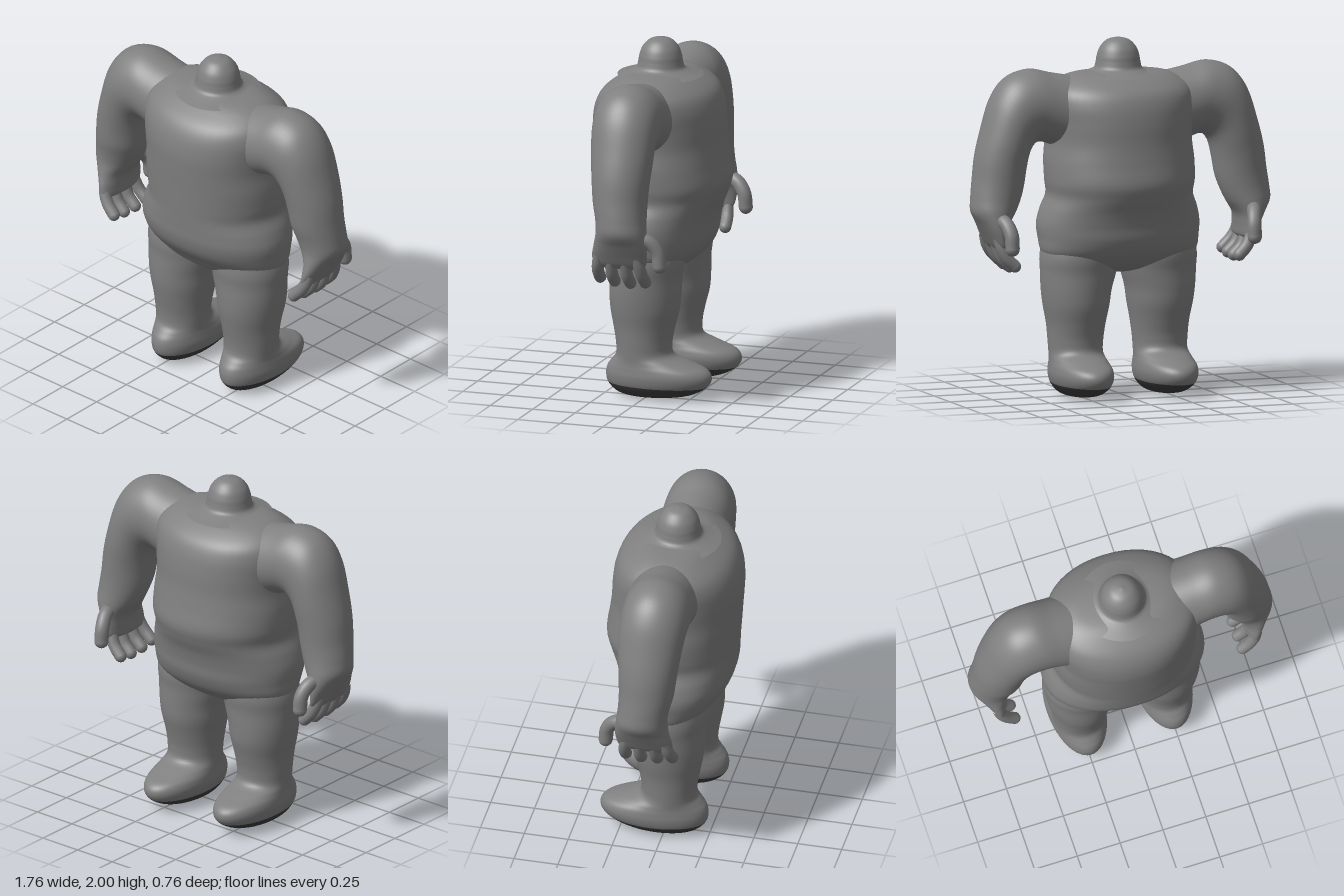
import * as THREE from 'three';

const skin = new THREE.MeshStandardMaterial({ color: 0x808080 });
skin.name = 'grey skin';
const dark = new THREE.MeshStandardMaterial({ color: 0x3c3c3c });
dark.name = 'dark sole';

const STEPS = 6; // smooth rings between two given rows
const SIDES = 48;

// Catmull-Rom interpolation of whole rows
function smoothRows(rows) {
  const out = [];
  const last = rows.length - 1;
  for (let i = 0; i < last; i++) {
    const [p, a, b, q] = [rows[Math.max(i - 1, 0)], rows[i], rows[i + 1], rows[Math.min(i + 2, last)]];
    for (let k = 0; k < STEPS; k++) {
      const t = k / STEPS;
      out.push(a.map((v, n) => {
        const cubic = 3 * (v - b[n]) + q[n] - p[n];
        const square = 2 * p[n] - 5 * v + 4 * b[n] - q[n];
        return v + 0.5 * t * (b[n] - p[n] + t * (square + t * cubic));
      }));
    }
  }
  out.push(rows[last]);
  return out;
}

// Loft of rounded rings, listed upwards: [outerX, outerY, innerX, innerY, zBack, zFront]
function loft(rows, side = 1, power = 2) {
  const rings = smoothRows(rows);
  const pos = [];
  const index = [];
  const bend = (v) => Math.sign(v) * Math.abs(v) ** (2 / power);
  const tri = (a, b, c) => (side > 0 ? index.push(a, b, c) : index.push(a, c, b));
  for (const [ox, oy, ix, iy, zb, zf] of rings) {
    for (let j = 0; j < SIDES; j++) {
      const a = (j / SIDES) * Math.PI * 2;
      const c = bend(Math.cos(a)) / 2;
      const s = bend(Math.sin(a)) / 2;
      pos.push(side * ((ox + ix) / 2 + c * (ox - ix)), (oy + iy) / 2 + c * (oy - iy), (zb + zf) / 2 + s * (zb - zf));
    }
  }
  const centres = [rings[0], rings[rings.length - 1]].map(([ox, oy, ix, iy, zb, zf]) => {
    pos.push(side * (ox + ix) / 2, (oy + iy) / 2, (zb + zf) / 2);
    return pos.length / 3 - 1;
  });
  const top = (rings.length - 1) * SIDES;
  for (let j = 0; j < SIDES; j++) tri(centres[0], j, (j + 1) % SIDES);
  for (let i = 0; i < rings.length - 1; i++) {
    for (let j = 0; j < SIDES; j++) {
      const a = i * SIDES + j;
      const b = i * SIDES + (j + 1) % SIDES;
      tri(a, a + SIDES, b);
      tri(b, a + SIDES, b + SIDES);
    }
  }
  for (let j = 0; j < SIDES; j++) tri(centres[1], top + (j + 1) % SIDES, top + j);
  const geo = new THREE.BufferGeometry();
  geo.setAttribute('position', new THREE.Float32BufferAttribute(pos, 3));
  geo.setIndex(index);
  geo.computeVertexNormals();
  return geo;
}

function addMesh(parent, name, geo, material = skin) {
  const mesh = new THREE.Mesh(geo, material);
  mesh.name = name;
  parent.add(mesh);
  return mesh;
}

// Round-ended finger along a bent path
function addFinger(parent, name, points, radius) {
  const finger = new THREE.Group();
  finger.name = name;
  const path = points.map((p) => new THREE.Vector3(...p));
  addMesh(finger, name + 'Shaft', new THREE.TubeGeometry(new THREE.CatmullRomCurve3(path), 16, radius, 14));
  const tip = addMesh(finger, name + 'Tip', new THREE.SphereGeometry(radius, 14, 10));
  tip.position.copy(path[path.length - 1]);
  parent.add(finger);
}

// Torso: [y, half width, zBack, zFront]
const torsoRows = [
  [0.69, 0.05, 0.04, -0.04], [0.71, 0.2, 0.13, -0.12], [0.75, 0.37, 0.2, -0.19],
  [0.81, 0.445, 0.25, -0.25], [0.89, 0.46, 0.31, -0.288], [0.97, 0.465, 0.338, -0.302],
  [1.05, 0.445, 0.346, -0.325], [1.13, 0.412, 0.352, -0.36], [1.21, 0.42, 0.358, -0.38],
  [1.32, 0.422, 0.365, -0.365], [1.43, 0.412, 0.373, -0.352], [1.54, 0.42, 0.376, -0.346],
  [1.64, 0.43, 0.358, -0.33], [1.715, 0.415, 0.315, -0.295], [1.77, 0.36, 0.24, -0.225],
  [1.805, 0.27, 0.17, -0.15], [1.82, 0.12, 0.09, -0.07],
].map(([y, w, b, f]) => [w, y, -w, y, b, f]);

// Leg and foot: [y, centre x, half width, zBack, zFront]
const legRows = [
  [0.004, 0.25, 0.03, 0.08, -0.06], [0.014, 0.25, 0.075, 0.14, -0.17], [0.036, 0.25, 0.115, 0.19, -0.27],
  [0.08, 0.25, 0.148, 0.23, -0.348], [0.13, 0.25, 0.161, 0.24, -0.373], [0.175, 0.25, 0.158, 0.23, -0.345],
  [0.21, 0.25, 0.152, 0.205, -0.25], [0.25, 0.25, 0.15, 0.178, -0.15], [0.32, 0.25, 0.155, 0.178, -0.138],
  [0.41, 0.248, 0.165, 0.193, -0.155], [0.51, 0.248, 0.184, 0.21, -0.18], [0.6, 0.247, 0.197, 0.215, -0.187],
  [0.7, 0.236, 0.214, 0.215, -0.19], [0.8, 0.23, 0.222, 0.22, -0.2], [0.95, 0.22, 0.2, 0.2, -0.18],
].map(([y, x, r, b, f]) => [x + r, y, x - r, y, b, f]);
const SOLE_ROW = 3;

// Arm, from the knuckles up to the root inside the chest
const armRows = [
  [0.75, 0.85, 0.72, 0.845, 0.1, -0.1], [0.775, 0.875, 0.695, 0.865, 0.145, -0.155],
  [0.805, 0.93, 0.69, 0.92, 0.15, -0.17], [0.84, 0.995, 0.678, 0.985, 0.135, -0.172],
  [0.878, 1.065, 0.63, 1.06, 0.122, -0.165], [0.876, 1.14, 0.597, 1.13, 0.13, -0.158],
  [0.863, 1.24, 0.575, 1.2, 0.15, -0.157], [0.846, 1.37, 0.56, 1.29, 0.163, -0.163],
  [0.81, 1.51, 0.545, 1.365, 0.176, -0.172], [0.75, 1.69, 0.525, 1.41, 0.19, -0.176],
  [0.66, 1.803, 0.495, 1.435, 0.2, -0.178], [0.53, 1.845, 0.455, 1.435, 0.203, -0.178],
  [0.4, 1.82, 0.385, 1.41, 0.205, -0.182], [0.27, 1.795, 0.27, 1.36, 0.21, -0.19],
  [0.15, 1.77, 0.15, 1.36, 0.2, -0.19],
];

export function createModel() {
  const model = new THREE.Group();
  model.name = 'stockyFigure';
  addMesh(model, 'torso', loft(torsoRows, 1, 2.15));

  // Head dome with flared neck
  const dome = new THREE.SplineCurve([
    [0.24, 1.79], [0.17, 1.812], [0.135, 1.83], [0.124, 1.865], [0.118, 1.9],
    [0.1, 1.945], [0.06, 1.985], [0.0, 2.0],
  ].map(([x, y]) => new THREE.Vector2(x, y)));
  addMesh(model, 'head', new THREE.LatheGeometry(dome.getPoints(36), 40)).position.z = 0.012;

  for (const side of [1, -1]) {
    const label = side > 0 ? 'left' : 'right';

    // Leg, with the underside of the foot as its own colour
    const legGeo = loft(legRows, side);
    const soleCount = SIDES * 3 + SOLE_ROW * STEPS * SIDES * 6;
    legGeo.addGroup(0, soleCount, 1);
    legGeo.addGroup(soleCount, legGeo.index.count - soleCount, 0);
    addMesh(model, label + 'Leg', legGeo, [skin, dark]);

    // Arm and hand
    const arm = new THREE.Group();
    arm.name = label + 'Arm';
    model.add(arm);
    addMesh(arm, label + 'ArmAndPalm', loft(armRows, side));
    [0.125, 0.045, -0.042, -0.125].forEach((z, i) => {
      const drop = [0.015, 0, -0.005, 0.005][i];
      addFinger(arm, label + 'Finger' + (i + 1), [
        [side * 0.755, 0.93, z * 0.85], [side * 0.737, 0.865, z * 0.97],
        [side * 0.71, 0.805 + drop, z * 1.03], [side * 0.665, 0.758 + drop, z * 1.06],
      ], 0.034);
    });
    addFinger(arm, label + 'Thumb', [
      [side * 0.755, 1.03, -0.11], [side * 0.735, 1.01, -0.18],
      [side * 0.72, 0.95, -0.225], [side * 0.718, 0.875, -0.235],
    ], 0.04);
  }
  return model;
}
